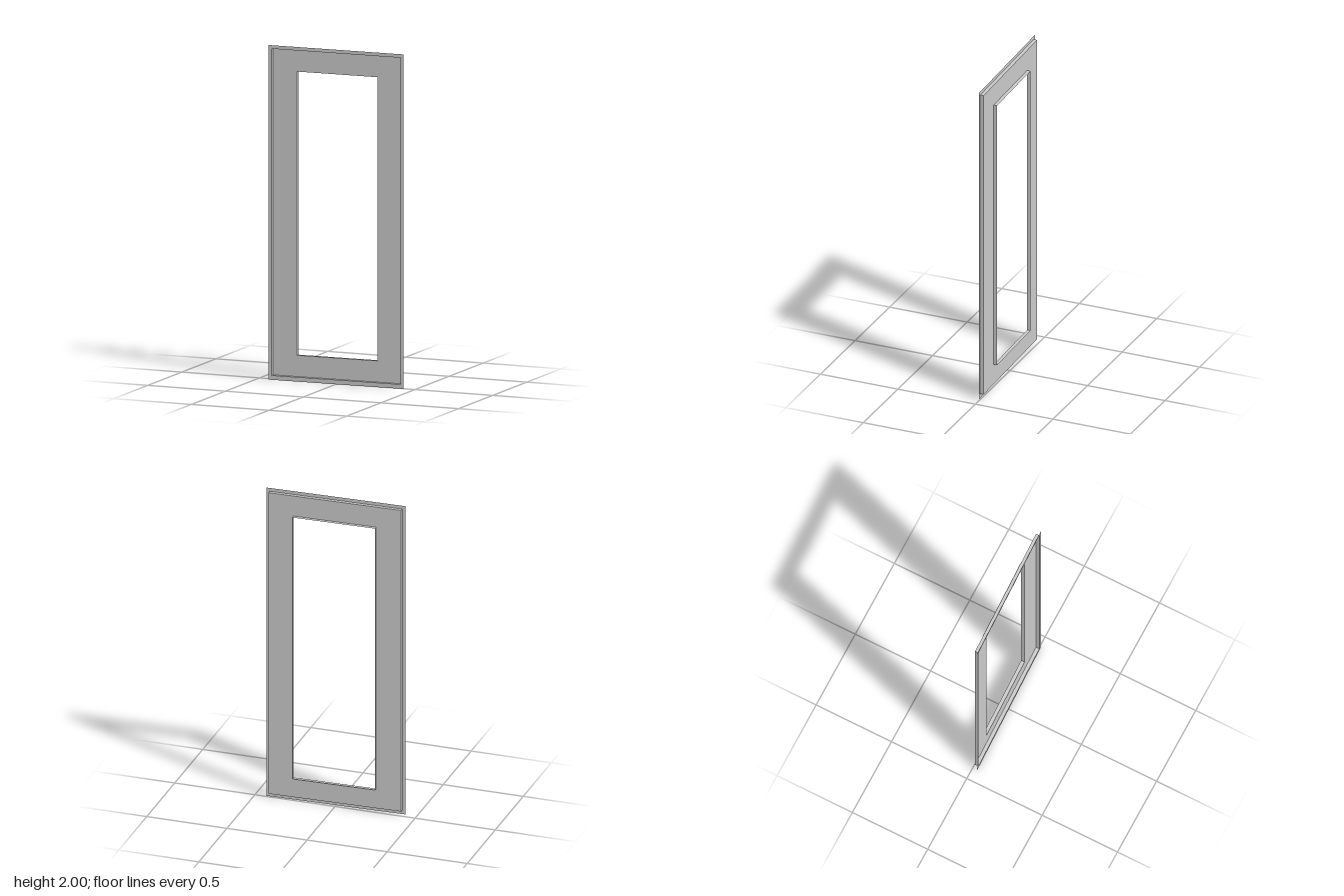
import * as THREE from 'three';

const material = new THREE.MeshStandardMaterial({
  color: 0xcccccc, flatShading: true, side: THREE.DoubleSide,
});

// Rectangular loops: half width, bottom, top and depth
const OUTER = { w: 0.431, y0: 0, y1: 2, z: 0.0195 };
const STEP_FRONT = { w: 0.41, y0: 0.026, y1: 1.979, z: 0.0195 };
const STEP_BACK = { ...STEP_FRONT, z: -0.0025 };
const OPENING_FRONT = { w: 0.256, y0: 0.153, y1: 1.849, z: -0.0025 };
const OPENING_BACK = { ...OPENING_FRONT, z: -0.0245 };

const corners = ({ w, y0, y1, z }) => [[-w, y0, z], [w, y0, z], [w, y1, z], [-w, y1, z]];

// Four-sided band of sheet joining two rectangular loops
function band(name, a, b) {
  const A = corners(a), B = corners(b), pos = [];
  for (let i = 0; i < 4; i++) {
    const j = (i + 1) % 4;
    pos.push(...A[i], ...A[j], ...B[j], ...A[i], ...B[j], ...B[i]);
  }
  const geometry = new THREE.BufferGeometry();
  geometry.setAttribute('position', new THREE.Float32BufferAttribute(pos, 3));
  geometry.computeVertexNormals();
  const mesh = new THREE.Mesh(geometry, material);
  mesh.name = name;
  return mesh;
}

export function createModel() {
  const frame = new THREE.Group();
  frame.name = 'panelFrame';
  frame.add(
    band('outerLip', OUTER, STEP_FRONT),
    band('recessWall', STEP_FRONT, STEP_BACK),
    band('recessedPanel', STEP_BACK, OPENING_FRONT),
    band('openingFlange', OPENING_FRONT, OPENING_BACK),
  );
  // The whole frame is turned slightly about the vertical
  frame.rotation.y = 0.0257;

  const model = new THREE.Group();
  model.name = 'steppedFrame';
  model.add(frame);
  return model;
}
